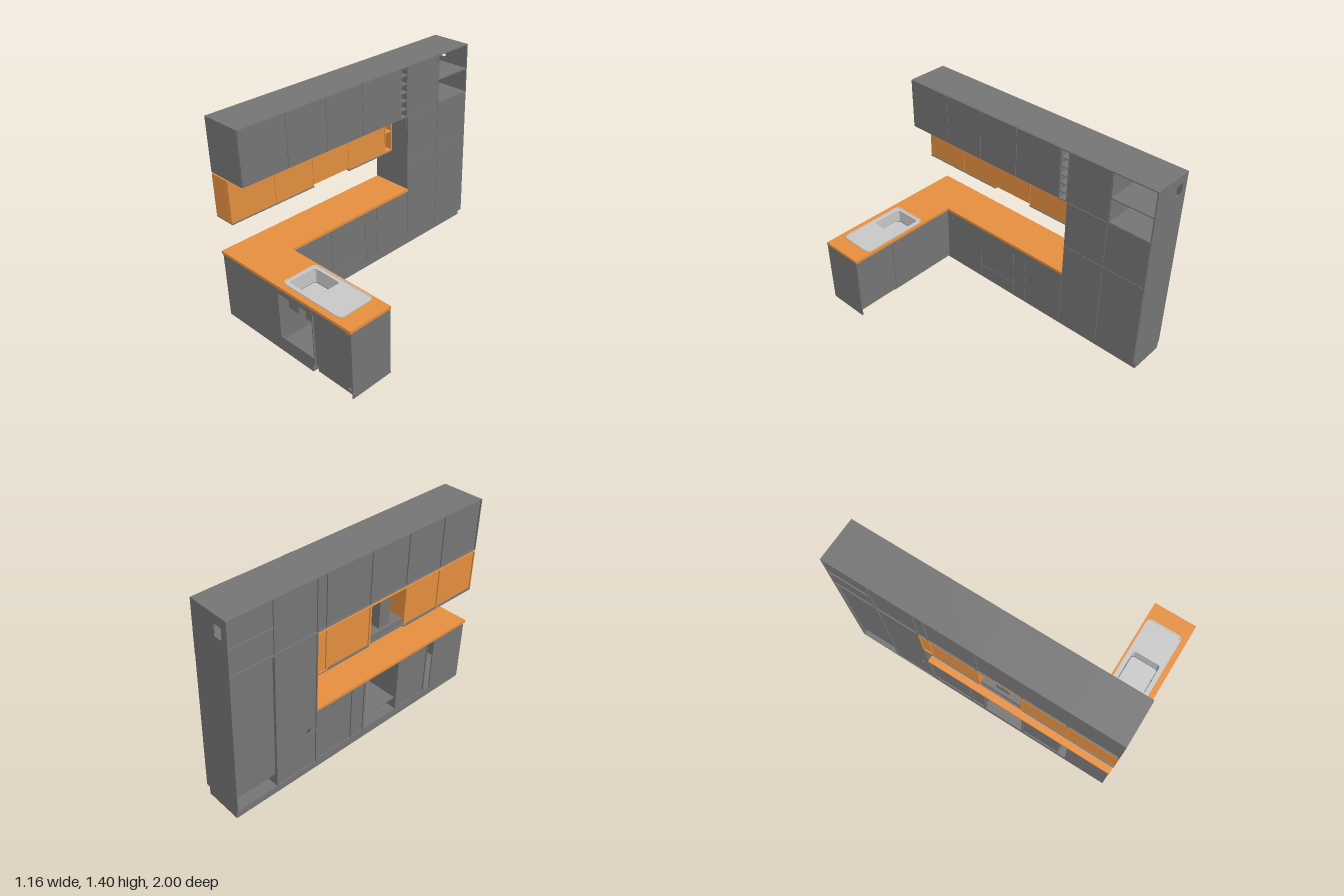
import * as THREE from 'three';

const grey = new THREE.MeshStandardMaterial({ color: 0x777777 });
const orange = new THREE.MeshStandardMaterial({ color: 0xe89141 });
const steel = new THREE.MeshStandardMaterial({ color: 0xcccccc, side: THREE.DoubleSide });

function add(parent, name, geo, mat) {
  const m = new THREE.Mesh(geo, mat);
  m.name = name;
  parent.add(m);
  return m;
}

// Box given by its limits
function box(parent, name, x0, x1, y0, y1, z0, z1, mat = grey) {
  const m = add(parent, name, new THREE.BoxGeometry(x1 - x0, y1 - y0, z1 - z0), mat);
  m.position.set((x0 + x1) / 2, (y0 + y1) / 2, (z0 + z1) / 2);
  return m;
}

function rectPath(P, x0, x1, y0, y1, r = 0) {
  const p = new P();
  if (r === 0) {
    p.moveTo(x0, y0); p.lineTo(x1, y0); p.lineTo(x1, y1); p.lineTo(x0, y1); p.closePath();
    return p;
  }
  p.absarc(x1 - r, y0 + r, r, -Math.PI / 2, 0);
  p.absarc(x1 - r, y1 - r, r, 0, Math.PI / 2);
  p.absarc(x0 + r, y1 - r, r, Math.PI / 2, Math.PI);
  p.absarc(x0 + r, y0 + r, r, Math.PI, Math.PI * 1.5);
  p.closePath();
  return p;
}

function plate(shape, depth, holes = []) {
  shape.holes.push(...holes);
  return new THREE.ExtrudeGeometry(shape, { depth, bevelEnabled: false, curveSegments: 8 });
}

// Cabinet opening to +x: carcass, inset back, shelves and doors split at given heights
function cabinet(parent, name, x0, x1, y0, y1, z0, z1, o = {}) {
  const { mat = grey, back = true, doors = [], shelves = [], open = false, bottomMat = mat, inset = 0.008 } = o;
  const g = new THREE.Group();
  g.name = name;
  parent.add(g);
  const t = 0.007, xf = open ? x1 : x1 - 0.01;
  box(g, 'side', x0, xf, y0, y1, z0, z0 + t, mat);
  box(g, 'side', x0, xf, y0, y1, z1 - t, z1, mat);
  box(g, 'floor', x0, xf, y0, y0 + t, z0 + t, z1 - t, bottomMat);
  box(g, 'top', x0, xf, y1 - t, y1, z0 + t, z1 - t, mat);
  if (back) box(g, 'backPanel', x0 + inset, x0 + inset + 0.005, y0 + (o.slot || t), y1 - t, z0 + t, z1 - t, mat);
  for (const y of shelves) box(g, 'shelf', x0 + 0.015, xf, y - 0.003, y + 0.003, z0 + t, z1 - t, mat);
  if (!open) {
    const ys = [y0, ...doors, y1];
    for (let i = 0; i + 1 < ys.length; i++)
      box(g, 'door', x1 - 0.01, x1, ys[i] + 0.0015, ys[i + 1] - 0.0015, z0 + 0.0015, z1 - 0.0015, mat);
  }
  return g;
}

export function createModel() {
  const kitchen = new THREE.Group();
  kitchen.name = 'kitchen';
  const B = -0.58, F = -0.28;

  // Top row of wall cabinets
  const rows = [[0.66, 1], [0.35, 0.66], [0.04, 0.35], [-0.31, 0.04]];
  const top = new THREE.Group();
  top.name = 'topCabinets';
  kitchen.add(top);
  for (const [a, b] of [...rows, [-0.69, -0.38]]) cabinet(top, 'topCabinet', B, F, 1.04, 1.4, a, b);
  cabinet(top, 'bottleRack', B, F, 1.04, 1.4, -0.38, -0.31,
    { open: true, shelves: [1, 2, 3, 4, 5].map(i => 1.04 + i * 0.06) });

  // Open corner niche with a vent cut in the end panel
  const niche = new THREE.Group();
  niche.name = 'openNiche';
  kitchen.add(niche);
  const end = add(niche, 'ventPanel', plate(rectPath(THREE.Shape, B, F, 1.04, 1.4), 0.008,
    [rectPath(THREE.Path, -0.535, -0.475, 1.26, 1.34, 0.01)]), grey);
  end.position.z = -1;
  box(niche, 'side', B, F, 1.04, 1.4, -0.698, -0.69);
  for (const y of [1.04, 1.215, 1.392]) box(niche, 'shelf', B, F, y, y + 0.008, -0.992, -0.698);
  box(niche, 'backPanel', -0.572, -0.566, 1.048, 1.392, -0.992, -0.698);

  // Lower row of shallow wall cabinets
  const wall = new THREE.Group();
  wall.name = 'wallCabinets';
  kitchen.add(wall);
  rows.forEach(([a, b], i) => {
    const hood = i === 2;
    cabinet(wall, hood ? 'hoodCabinet' : 'wallCabinet', B, -0.43, hood ? 0.752 : 0.742, 1.03, a, b,
      { mat: orange, bottomMat: grey, back: !hood });
  });
  cabinet(wall, 'openShelf', B, -0.43, 0.742, 1.03, -0.38, -0.31, { mat: orange, open: true, shelves: [0.89] });
  box(wall, 'underPanel', B, -0.425, 0.736, 0.742, 0.35, 1);
  box(wall, 'underPanel', B, -0.425, 0.736, 0.742, -0.38, 0.04);
  box(wall, 'hoodBody', -0.57, -0.45, 0.744, 0.8, 0.05, 0.34);
  box(wall, 'hoodDuct', -0.55, -0.46, 0.8, 1.02, 0.15, 0.24);
  box(wall, 'hoodFilter', -0.55, -0.46, 0.74, 0.745, 0.08, 0.31, steel);

  // Tall units
  cabinet(kitchen, 'fridgeUnit', B, F, 0.055, 1.04, -1, -0.69, { doors: [0.7], slot: 0.09, inset: 0.02 });
  const larder = cabinet(kitchen, 'larderUnit', B, F, 0.055, 1.04, -0.69, -0.38, { doors: [0.7], back: false });
  const hole = new THREE.Path();
  hole.absarc(0.44, 0.34, 0.018, 0, Math.PI * 2);
  const lb = add(larder, 'backPanel', plate(rectPath(THREE.Shape, 0.387, 0.683, 0.062, 1.033), 0.005, [hole]), grey);
  lb.rotation.y = Math.PI / 2;
  lb.position.x = -0.572;

  // Base run
  const b0 = -0.57;
  cabinet(kitchen, 'baseCabinet', b0, F, 0.055, 0.465, -0.38, -0.07);
  cabinet(kitchen, 'narrowBase', b0, F, 0.055, 0.465, -0.07, 0.04);
  cabinet(kitchen, 'ovenBase', b0, F, 0.055, 0.465, 0.04, 0.35, { doors: [0.148], back: false, shelves: [0.148] });
  cabinet(kitchen, 'cornerBase', b0, F, 0.055, 0.465, 0.35, 0.63);
  box(kitchen, 'cornerFiller', -0.29, F, 0.055, 0.465, 0.63, 0.7);
  box(kitchen, 'plinth', b0, -0.31, 0, 0.055, -1, 0.99);

  // Peninsula shell, with an opening under the sink
  const pen = new THREE.Group();
  pen.name = 'peninsula';
  kitchen.add(pen);
  const back = new THREE.Shape();
  [[b0, 0], [0.24, 0], [0.24, 0.055], [0.257, 0.055], [0.257, 0.465], [b0, 0.465]]
    .forEach(([x, y], i) => i ? back.lineTo(x, y) : back.moveTo(x, y));
  back.closePath();
  add(pen, 'backPanel', plate(back, 0.008, [rectPath(THREE.Path, -0.045, 0.25, 0.105, 0.425)]), grey).position.z = 0.988;
  box(pen, 'wallEnd', b0, -0.562, 0, 0.465, 0.69, 0.988);
  box(pen, 'plinth', -0.31, 0.24, 0, 0.055, 0.73, 0.988);
  box(pen, 'orangePlinth', 0.24, 0.568, 0, 0.055, 0.735, 0.745, orange);
  box(pen, 'endPanel', 0.57, 0.578, 0, 0.465, 0.69, 0.996);
  for (const [a, b] of [[-0.28, 0.257], [0.26, 0.57]]) box(pen, 'door', a, b, 0.055, 0.462, 0.688, 0.698);
  box(pen, 'sinkFloor', -0.28, 0.25, 0.055, 0.063, 0.698, 0.988);
  for (const x of [-0.06, 0.25]) box(pen, 'sinkSide', x, x + 0.007, 0.055, 0.465, 0.698, 0.988);
  for (const [a, b] of [[-0.02, 0.07], [0.135, 0.225]]) box(pen, 'drawerBox', a, b, 0.305, 0.365, 0.72, 0.94);
  box(pen, 'drawerBridge', 0.07, 0.135, 0.305, 0.312, 0.72, 0.75);

  // End cabinet with hinges
  box(pen, 'endFloor', 0.257, 0.57, 0.055, 0.063, 0.698, 0.985);
  box(pen, 'endBack', 0.262, 0.568, 0.063, 0.46, 0.982, 0.99);
  box(pen, 'topRail', 0.257, 0.57, 0.427, 0.458, 0.985, 0.993);
  box(pen, 'lowPlinth', 0.262, 0.57, 0.002, 0.055, 0.965, 0.975);
  for (const y of [0.043, 0.442]) {
    box(pen, 'hinge', 0.535, 0.57, y - 0.012, y + 0.012, 0.972, 0.996);
    box(pen, 'hingeArm', 0.545, 0.562, y - 0.006, y + 0.006, 0.99, 0.998);
  }

  // L-shaped worktop with the bowl cut out (shape y is -z)
  const L = new THREE.Shape();
  [[B, -1], [0.578, -1], [0.578, -0.685], [-0.275, -0.685], [-0.275, 0.38], [B, 0.38]]
    .forEach(([x, y], i) => i ? L.lineTo(x, y) : L.moveTo(x, y));
  L.closePath();
  const worktop = add(kitchen, 'worktop', plate(L, 0.02, [rectPath(THREE.Path, -0.02, 0.212, -0.935, -0.725, 0.02)]), orange);
  worktop.rotation.x = -Math.PI / 2;
  worktop.position.y = 0.465;

  // Sink: rim, bowl and drain
  const sink = new THREE.Group();
  sink.name = 'sink';
  kitchen.add(sink);
  const bowlHole = () => rectPath(THREE.Path, -0.015, 0.207, -0.93, -0.73, 0.018);
  const layers = [
    ['tray', rectPath(THREE.Shape, -0.04, 0.46, -0.96, -0.7, 0.035), 0.485, 0.002, [bowlHole()]],
    ['rim', rectPath(THREE.Shape, -0.04, 0.46, -0.96, -0.7, 0.035), 0.486, 0.005,
      [rectPath(THREE.Path, -0.033, 0.453, -0.953, -0.707, 0.029)]],
    ['bowlWall', rectPath(THREE.Shape, -0.019, 0.211, -0.934, -0.726, 0.02), 0.39, 0.096, [bowlHole()]],
    ['bowlFloor', rectPath(THREE.Shape, -0.01, 0.202, -0.925, -0.735, 0.018), 0.383, 0.008, []],
  ];
  for (const [name, shape, y, h, holes] of layers) {
    const m = add(sink, name, plate(shape, h, holes), steel);
    m.rotation.x = -Math.PI / 2;
    m.position.y = y;
  }
  add(sink, 'drainPipe', new THREE.CylinderGeometry(0.021, 0.021, 0.095, 20), steel).position.set(0.097, 0.337, 0.83);
  add(sink, 'drainRing', new THREE.CylinderGeometry(0.02, 0.02, 0.002, 20), steel).position.set(0.097, 0.392, 0.83);

  return kitchen;
}
